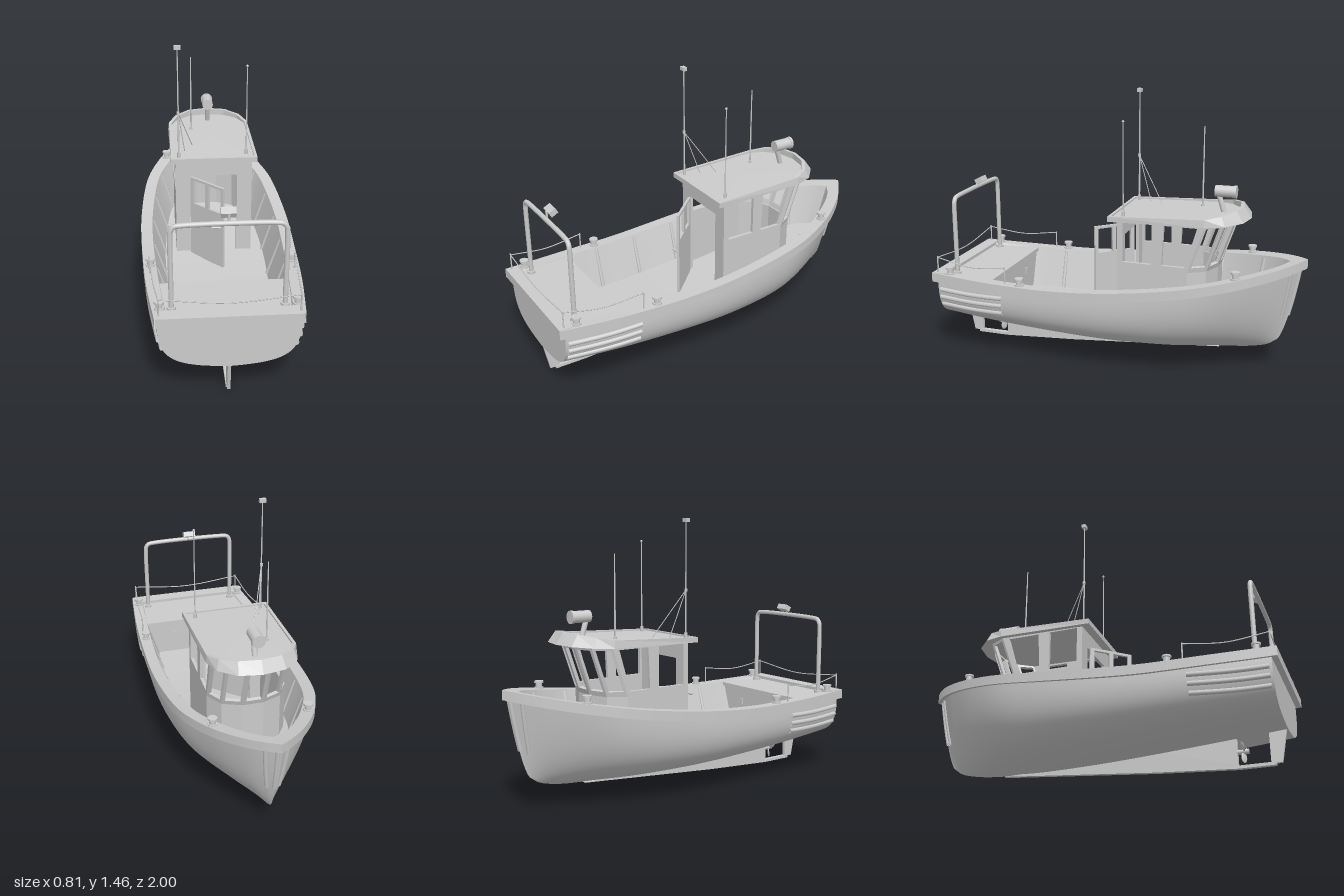
import * as THREE from 'three';

const smooth = new THREE.MeshStandardMaterial({ color: 0xcccccc, side: THREE.DoubleSide });
const faceted = new THREE.MeshStandardMaterial({ color: 0xcccccc, side: THREE.DoubleSide, flatShading: true });
const V = (x, y, z) => new THREE.Vector3(x, y, z);

// Stations from stern to bow:
// rail z, half beam, keel z, keel y, section handles (x, y, x, y), inner rail z, x, deck edge z, x
const STATIONS = [
  [1, .35, .97, .178, .74, .05, 1.02, .18, .93, .3, .93, .17],
  [.66, .385, .66, .152, .73, .07, 1.02, .2, .66, .32, .66, .25],
  [.3, .402, .3, .125, .7, .09, 1.01, .22, .3, .34, .3, .27],
  [0, .405, 0, .107, .67, .1, 1.01, .24, 0, .343, 0, .275],
  [-.3, .384, -.3, .098, .63, .11, .98, .29, -.3, .32, -.3, .252],
  [-.5, .347, -.48, .102, .57, .12, .93, .35, -.5, .282, -.49, .215],
  [-.7, .265, -.65, .112, .5, .13, .82, .42, -.68, .2, -.66, .145],
  [-.85, .165, -.76, .13, .43, .15, .74, .45, -.8, .122, -.76, .09],
  [-.94, .078, -.815, .148, .38, .15, .7, .5, -.87, .06, -.81, .045],
  [-1, 0, -.85, .172, .35, .15, .65, .5, -.91, 0, -.84, 0],
];
const LAST = STATIONS.length - 1;
const lines = new THREE.CubicInterpolant(STATIONS.map((_, i) => i), STATIONS.flat(), 12);
const station = (u) => Array.from(lines.evaluate(u));
const sheer = (z) => .455 + (z < .4 ? .1057 * Math.pow(.4 - z, 1.664) : .04 * (z - .4) ** 2);
const deckY = (z) => sheer(z) - .22;
const bezier = (t, b, c, d) => 3 * t * (1 - t) ** 2 * b + 3 * t * t * (1 - t) * c + t ** 3 * d;

// Point on the left hull skin: u along the boat, t from keel to rail
function hullPoint(u, t) {
  const [z, beam, keelZ, keelY, c1, h1, c2, h2] = station(u);
  const f = bezier(t, h1, h2, 1);
  const top = sheer(z) - .045;
  return V(Math.max(0, beam * .965 * bezier(t, c1, c2, 1)), keelY + (top - keelY) * f,
    THREE.MathUtils.lerp(keelZ, z * .97, Math.pow(f, .6)));
}
function hullAtHeight(u, y) {
  let lo = 0, hi = 1;
  for (let i = 0; i < 20; i++) {
    const m = (lo + hi) / 2;
    if (hullPoint(u, m).y < y) lo = m; else hi = m;
  }
  return hullPoint(u, lo);
}

// Surface through rows of points
function loft(rows) {
  const n = rows[0].length, index = [];
  for (let r = 0; r < rows.length - 1; r++) for (let c = 0; c < n - 1; c++) {
    const a = r * n + c, b = a + n;
    index.push(a, a + 1, b, b, a + 1, b + 1);
  }
  const g = new THREE.BufferGeometry().setFromPoints(rows.flat());
  g.setIndex(index);
  g.computeVertexNormals();
  return g;
}

export function createModel() {
  const boat = new THREE.Group();
  function add(name, geometry, pos = [0, 0, 0], mat = smooth, parent = boat) {
    const m = new THREE.Mesh(geometry, mat);
    m.name = name;
    m.position.set(...pos);
    parent.add(m);
    return m;
  }
  function pair(name, build) {
    for (const s of [1, -1]) {
      const g = new THREE.Group();
      g.name = (s > 0 ? 'left' : 'right') + name;
      g.scale.x = s;
      build(g);
      boat.add(g);
    }
  }
  const box = (w, h, d) => new THREE.BoxGeometry(w, h, d);
  const cyl = (r, h, r2 = r, n = 16) => new THREE.CylinderGeometry(r, r2, h, n);
  const tube = (pts, r, n = 24, sides = 8) => new THREE.TubeGeometry(new THREE.CatmullRomCurve3(pts), n, r, sides);
  const shapeOf = (pts) => new THREE.Shape(pts.map((p) => new THREE.Vector2(...p)));
  // Plate drawn in (z, y), thickness across x
  const plate = (pts, w) => new THREE.ExtrudeGeometry(shapeOf(pts), { depth: w, bevelEnabled: false })
    .translate(0, 0, -w / 2).rotateY(-Math.PI / 2);

  // Hull, gunwale, bulwark and deck, one half at a time
  const us = Array.from({ length: 73 }, (_, i) => i / 72 * LAST);
  const strip = (...edges) => loft(us.map((u) => edges.map((e) => e(station(u)))));
  const bandLow = (s) => V(Math.max(0, s[1]), sheer(s[0]) - .05, s[0]);
  const railOut = (s) => V(Math.max(0, s[1]), sheer(s[0]), s[0]);
  const railIn = (s) => V(Math.max(0, s[9]), sheer(s[8]), s[8]);
  const deckEdge = (s) => V(Math.max(0, s[11]), deckY(s[10]), s[10]);
  const hullTop = (s) => V(Math.max(0, s[1] * .95), sheer(s[0]) - .05, s[0] * .965);
  pair('HullHalf', (g) => {
    add('hullSkin', loft(us.map((u) => Array.from({ length: 25 }, (_, i) => hullPoint(u, i / 24)))), undefined, smooth, g);
    add('gunwaleBand', strip(bandLow, railOut), undefined, smooth, g);
    add('gunwaleUnderside', strip(hullTop, bandLow), undefined, smooth, g);
    add('gunwaleTop', strip(railOut, railIn), undefined, smooth, g);
    add('bulwark', strip(railIn, deckEdge), undefined, smooth, g);
    add('deck', strip(deckEdge, (s) => V(0, deckY(s[10]), s[10])), undefined, smooth, g);
    for (const u of [1.53, 2.23, 3.07, 3.87, 5, 6.55]) {
      const s = station(u), a = railIn(s), b = deckEdge(s);
      a.y -= .012;
      add('bulwarkFrame', tube([a, b], .011, 1, 6), undefined, smooth, g);
    }
    // Rubbing strakes aft and guard strips beside the stem
    for (const y of [.375, .33, .285]) {
      const pts = Array.from({ length: 10 }, (_, i) => hullAtHeight(.04 + i * .13, y - .006 * Math.sin(i / 9 * Math.PI)));
      add('rubbingStrake', tube(pts, .013), undefined, smooth, g);
    }
    for (const u of [8.2, 8.9])
      add('bowGuard', tube([.5, .65, .8, .98].map((t) => hullPoint(u, t)), .011, 16), undefined, smooth, g);
    // Mooring bollards
    for (const [x, z] of [[.245, -.67], [.36, .47], [.325, .9]]) {
      const y = sheer(z);
      add('bollardPost', cyl(.017, .036), [x, y + .018, z], smooth, g);
      add('bollardCap', cyl(.024, .01), [x, y + .036, z], smooth, g);
      add('bollardBase', cyl(.024, .008), [x, y + .004, z], smooth, g);
    }
    // Stern rail posts and side rope
    for (const [x, z] of [[.33, .97], [.365, .55]])
      add('railPost', cyl(.004, .1, .004, 8), [x, sheer(z) + .045, z], smooth, g);
    add('sideRope', tube([V(.33, .555, .97), V(.35, .525, .76), V(.365, .545, .55)], .003, 16, 5), undefined, smooth, g);
    add('deckLamp', box(.025, .035, .014), [.15, .36, .66], smooth, g);
  });
  const half = Array.from({ length: 25 }, (_, i) => hullPoint(0, i / 24));
  add('transom', loft(half.map((p) => [V(-p.x, p.y, p.z), p])));
  add('sternRail', box(.69, .05, .075), [0, .445, .9615]);
  add('sternRope', tube([V(-.33, .555, .97), V(0, .525, .97), V(.33, .555, .97)], .003, 24, 5));

  // Raised aft platform with its bulkhead
  add('aftPlatform', new THREE.ExtrudeGeometry(shapeOf([[-.33, .65], [.33, .65], [.315, .95], [-.315, .95]]),
    { depth: .02, bevelEnabled: false }).rotateX(Math.PI / 2), [0, .453, 0]);
  add('aftBulkhead', new THREE.ExtrudeGeometry(shapeOf([[-.25, .22], [.25, .22], [.32, .44], [-.32, .44]]),
    { depth: .015, bevelEnabled: false }), [0, 0, .66]);

  // Keel, rudder and propeller
  add('keel', plate([[.715, .02], [.9, .02], [.9, .004], [.715, .004], [.3, .03], [-.55, .1], [-.3, .11], [.3, .14], [.715, .17]], .024));
  add('rudder', plate([[.965, .19], [.875, .19], [.875, .015], [.93, .015]], .016));
  add('propellerHub', cyl(.013, .06).rotateX(Math.PI / 2), [0, .09, .74]);
  for (let i = 0; i < 3; i++) {
    const blade = new THREE.SphereGeometry(1, 12, 8).scale(.02, .028, .005).rotateY(.6).translate(0, .032, 0);
    add('propellerBlade', blade.rotateZ(.9 + i * Math.PI * 2 / 3), [0, .09, .745]);
  }

  // Flat wall between four corners, with openings given as [u0, v0, u1, v1]
  function wall(name, a, b, topA, topB, holes = [], thick = .018) {
    const shape = shapeOf([[0, 0], [1, 0], [1, 1], [0, 1]]);
    for (const [u0, v0, u1, v1] of holes)
      shape.holes.push(new THREE.Path([[u0, v0], [u0, v1], [u1, v1], [u1, v0]].map((p) => new THREE.Vector2(...p))));
    const g = new THREE.ExtrudeGeometry(shape, { depth: 1, bevelEnabled: false });
    const n = b.clone().sub(a).cross(topA.clone().sub(a)).normalize();
    const p = g.attributes.position;
    for (let i = 0; i < p.count; i++) {
      const u = p.getX(i);
      const q = a.clone().lerp(b, u).lerp(topA.clone().lerp(topB, u), p.getY(i)).addScaledVector(n, (p.getZ(i) - 1) * thick);
      p.setXYZ(i, q.x, q.y, q.z);
    }
    g.computeVertexNormals();
    add(name, g, undefined, faceted);
  }

  // Wheelhouse: upright lower walls, forward-leaning window band
  const side = [[.21, -.03, 0], [.21, -.25, 0], [.21, -.41, .09], [.155, -.5, .09], [.055, -.54, .09]];
  const plan = [...side, ...side.map(([x, z, r]) => [-x, z, r]).reverse()];
  for (let i = 0; i < plan.length - 1; i++) {
    const [[ax, az, ar], [bx, bz, br]] = [plan[i], plan[i + 1]];
    wall('wheelhouseLowerWall', V(ax, .23, az), V(bx, .23, bz), V(ax, .57, az), V(bx, .57, bz));
    wall('wheelhouseWindow', V(ax, .57, az), V(bx, .57, bz), V(ax, .83, az - ar), V(bx, .83, bz - br), [[.14, .1, .86, .93]]);
  }
  wall('wheelhouseAftWall', V(-.21, .23, -.03), V(.21, .23, -.03), V(-.21, .83, -.03), V(.21, .83, -.03), [[.19, .03, .8, .825]]);
  // Door standing open
  const hinge = [-.13, -.015], edge = [.035, .16];
  wall('door', V(hinge[0], .25, hinge[1]), V(edge[0], .25, edge[1]), V(hinge[0], .725, hinge[1]), V(edge[0], .725, edge[1]),
    [[.1, .68, .46, .97], [.56, .68, .92, .97]], .014);
  add('doorHandle', cyl(.006, .05).rotateZ(Math.PI / 2), [0, .49, .145]);

  // Roof: raised rim and a brow that slopes forward
  const ring = (pts) => {
    const right = pts.slice(0, -1).reverse().map(([x, y, z]) => V(-x, y, z));
    return [...pts.map((p) => V(...p)), ...right, V(...pts[0])];
  };
  const low = ring([[.235, .815, .015], [.235, .825, -.5], [.205, .83, -.6], [.12, .835, -.68], [0, .835, -.7]]);
  const high = ring([[.235, .843, .015], [.23, .865, -.5], [.19, .88, -.58], [.11, .892, -.64], [0, .895, -.66]]);
  const rim = high.map((p) => V(p.x * .93, p.y, (p.z + .3) * .95 - .3));
  const tray = rim.map((p) => V(p.x, .835 - p.z * .04, p.z));
  add('roof', loft([low.map(() => V(0, .82, -.3)), low, high, rim, tray, tray.map(() => V(0, .85, -.3))]), undefined, faceted);

  // Searchlight
  add('searchlightStand', cyl(.014, .1).rotateX(.3), [0, .895, -.54]);
  add('searchlightHead', cyl(.031, .1).rotateX(Math.PI / 2), [0, .967, -.555]);
  add('searchlightRim', cyl(.034, .015).rotateX(Math.PI / 2), [0, .967, -.61]);

  // Mast, stays and aerials
  add('mast', cyl(.003, .62, .005, 8), [-.19, 1.13, -.03]);
  add('mastHead', box(.035, .02, .022), [-.19, 1.45, -.03]);
  add('mastCollar', cyl(.008, .016), [-.19, 1.09, -.03]);
  for (const [x, z] of [[-.155, -.11], [-.108, -.19]])
    add('mastStay', tube([V(-.19, 1.09, -.03), V(x, .84, z)], .0025, 1, 5));
  add('leftAerial', cyl(.0025, .5, .004, 8), [.18, 1.085, -.055]);
  add('leftAerialTip', new THREE.SphereGeometry(.007, 10, 8), [.18, 1.335, -.055]);
  add('forwardAerial', cyl(.003, .44, .005, 8), [-.103, 1.065, -.415]);
  for (const [x, z] of [[-.19, -.03], [.18, -.055], [-.103, -.415]]) add('aerialFoot', cyl(.009, .03), [x, .85, z]);

  // Stern arch with work light
  const arch = [[.268, .44], [.268, .6], [.268, .83], [.265, .86], [.25, .88], [.22, .885]];
  add('sternArch', tube([...arch.map(([x, y]) => V(-x, y, .885)), ...arch.reverse().map(([x, y]) => V(x, y, .885))], .0125, 100, 10));
  for (const x of [-.268, .268]) add('archFoot', cyl(.022, .02), [x, .455, .885]);
  add('workLightStem', cyl(.006, .04), [0, .91, .878]);
  add('workLight', box(.07, .03, .04).rotateX(.5), [0, .93, .855]);
  return boat;
}
